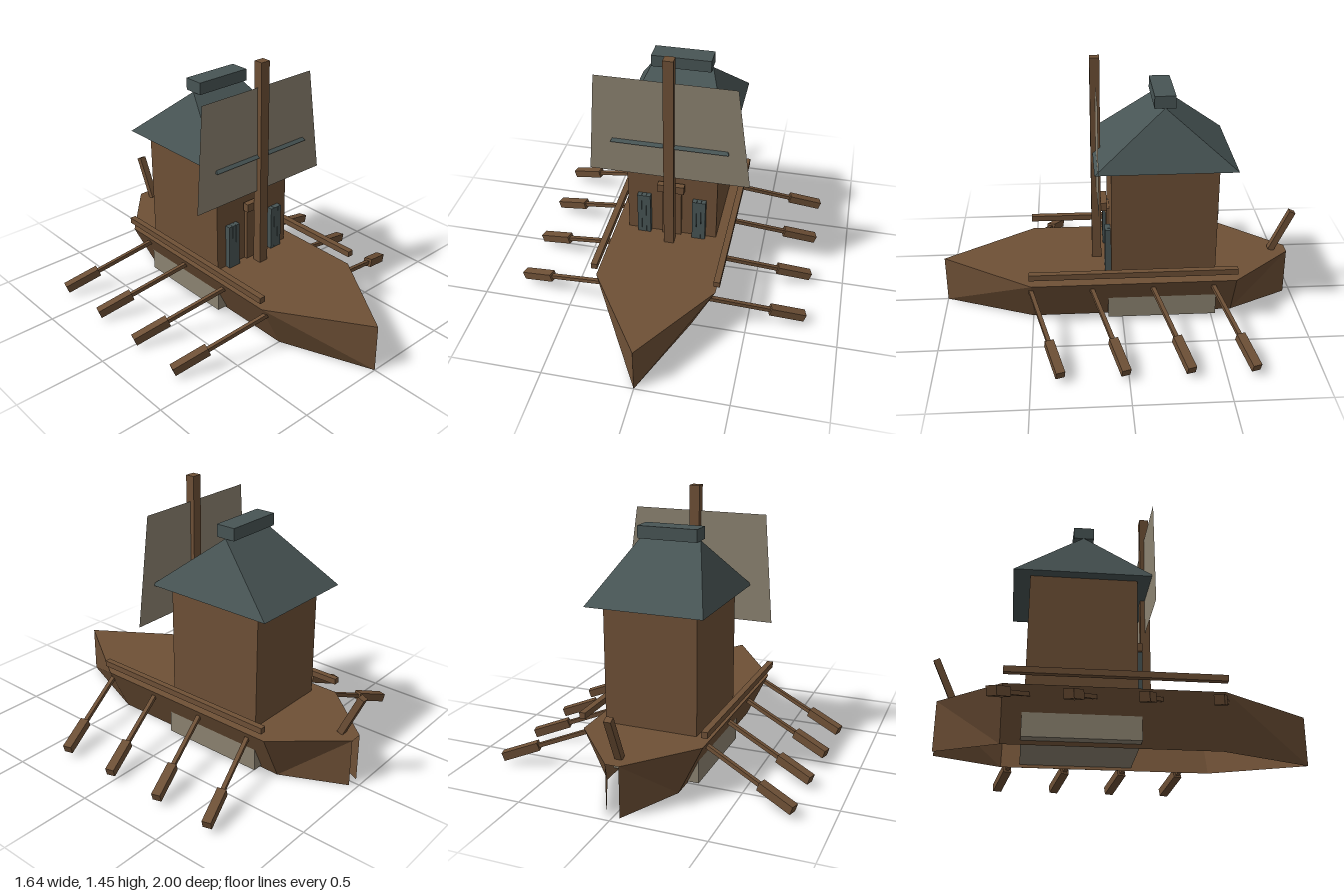
import * as THREE from 'three';

const mat = (name, color) =>
  new THREE.MeshStandardMaterial({ name, color, side: THREE.DoubleSide });

export function createModel() {
  const model = new THREE.Group();
  model.name = 'houseboat';
  const wood = mat('brown wood', 0x6e5036);
  const slate = mat('grey slate', 0x485555);
  const canvas = mat('pale canvas', 0x8c8371);

  const add = (name, geo, material, parent = model) => {
    const m = new THREE.Mesh(geo, material);
    m.name = name;
    parent.add(m);
    return m;
  };
  // Box given by its extents along each axis
  const box = (name, material, [x0, x1], [y0, y1], [z0, z1]) => {
    const m = add(name, new THREE.BoxGeometry(x1 - x0, y1 - y0, z1 - z0), material);
    m.position.set((x0 + x1) / 2, (y0 + y1) / 2, (z0 + z1) / 2);
    return m;
  };
  // Square beam between two points
  const beam = (name, a, b, w, h, parent) => {
    const m = add(name, new THREE.BoxGeometry(w, h, a.distanceTo(b)), wood, parent);
    m.position.copy(a).lerp(b, 0.5);
    m.lookAt(b);
    return m;
  };
  // Flat-shaded faces from convex polygons
  const faces = (polys) => {
    const pos = [];
    for (const p of polys)
      for (let i = 1; i < p.length - 1; i++) pos.push(...p[0], ...p[i], ...p[i + 1]);
    const g = new THREE.BufferGeometry();
    g.setAttribute('position', new THREE.Float32BufferAttribute(pos, 3));
    g.computeVertexNormals();
    return g;
  };

  // Hull: flared walls, open underneath and at the stern, with a flat deck
  const rim = [[0, 0.27, 1], [0.33, 0.27, 0.5], [0.33, 0.27, -0.62], [0.035, 0.27, -0.96]];
  const keel = [[0, 0, 1], [0.2, 0, 0.5], [0.2, 0, -0.62], [0.035, 0, -0.96]];
  const flip = ([x, y, z]) => [-x, y, z];
  const walls = [];
  for (let i = 0; i < 3; i++) {
    const tris = [[rim[i], keel[i], rim[i + 1]], [rim[i + 1], keel[i], keel[i + 1]]];
    for (const t of tris) walls.push(t, t.map(flip).reverse());
  }
  add('hull', faces(walls), wood);
  add('deck', faces([[...rim, ...rim.slice(1).map(flip).reverse()]]), wood);
  box('hold', canvas, [-0.27, 0.27], [0.02, 0.25], [-0.52, 0.08]);

  // Cabin and hipped roof
  box('cabin', wood, [-0.255, 0.255], [0.272, 0.92], [-0.51, 0.062]);
  const [fl, fr, br, bl] = [[-0.32, 0.917, 0.15], [0.32, 0.917, 0.15],
    [0.32, 0.917, -0.6], [-0.32, 0.917, -0.6]];
  const rl = [-0.165, 1.22, -0.225], rr = [0.165, 1.22, -0.225];
  add('roof', faces([[fl, fr, rr, rl], [fr, br, rr], [br, bl, rl, rr], [bl, fl, rl],
    [fl, bl, br, fr]]), slate);
  box('ridgeCap', slate, [-0.165, 0.165], [1.218, 1.285], [-0.28, -0.168]);

  // Door, lintel and slatted windows on the cabin front
  box('door', wood, [-0.055, 0.055], [0.272, 0.59], [0.06, 0.08]);
  box('lintel', wood, [-0.075, 0.075], [0.588, 0.635], [0.075, 0.11]);
  for (const s of [-1, 1])
    for (let i = 0; i < 3; i++) {
      const x = s * (0.132 + i * 0.0255);
      box('windowSlat', slate, [x - 0.012, x + 0.012], [0.272, 0.53], [0.06, 0.093]);
    }

  // Mast and sail
  box('mast', wood, [-0.028, 0.028], [0.27, 1.45], [0.108, 0.16]);
  const sail = new THREE.Shape([[-0.445, 0.715], [0.44, 0.715], [0.355, 1.31], [-0.4, 1.31]]
    .map(([x, y]) => new THREE.Vector2(x, y)));
  add('sail', new THREE.ShapeGeometry(sail), canvas).position.z = 0.132;

  // Rails and oars on both sides
  for (const s of [-1, 1]) {
    const x = s * 0.336;
    box('rail', wood, [x - 0.017, x + 0.017], [0.322, 0.355], [-0.62, 0.51]);
    for (let i = 0; i < 4; i++) {
      const oar = new THREE.Group();
      oar.name = 'oar';
      model.add(oar);
      const at = (d) => new THREE.Vector3(s * d, 0.21 - 0.36 * (d - 0.35),
        0.49 - i * 0.333 - 0.31 * (d - 0.35));
      beam('shaft', at(0.29), at(0.64), 0.022, 0.022, oar);
      beam('blade', at(0.62), at(0.806), 0.048, 0.046, oar);
    }
  }

  // Steering post at the stern
  beam('tiller', new THREE.Vector3(0, 0.272, -0.872), new THREE.Vector3(0, 0.512, -0.982),
    0.038, 0.036);
  return model;
}
